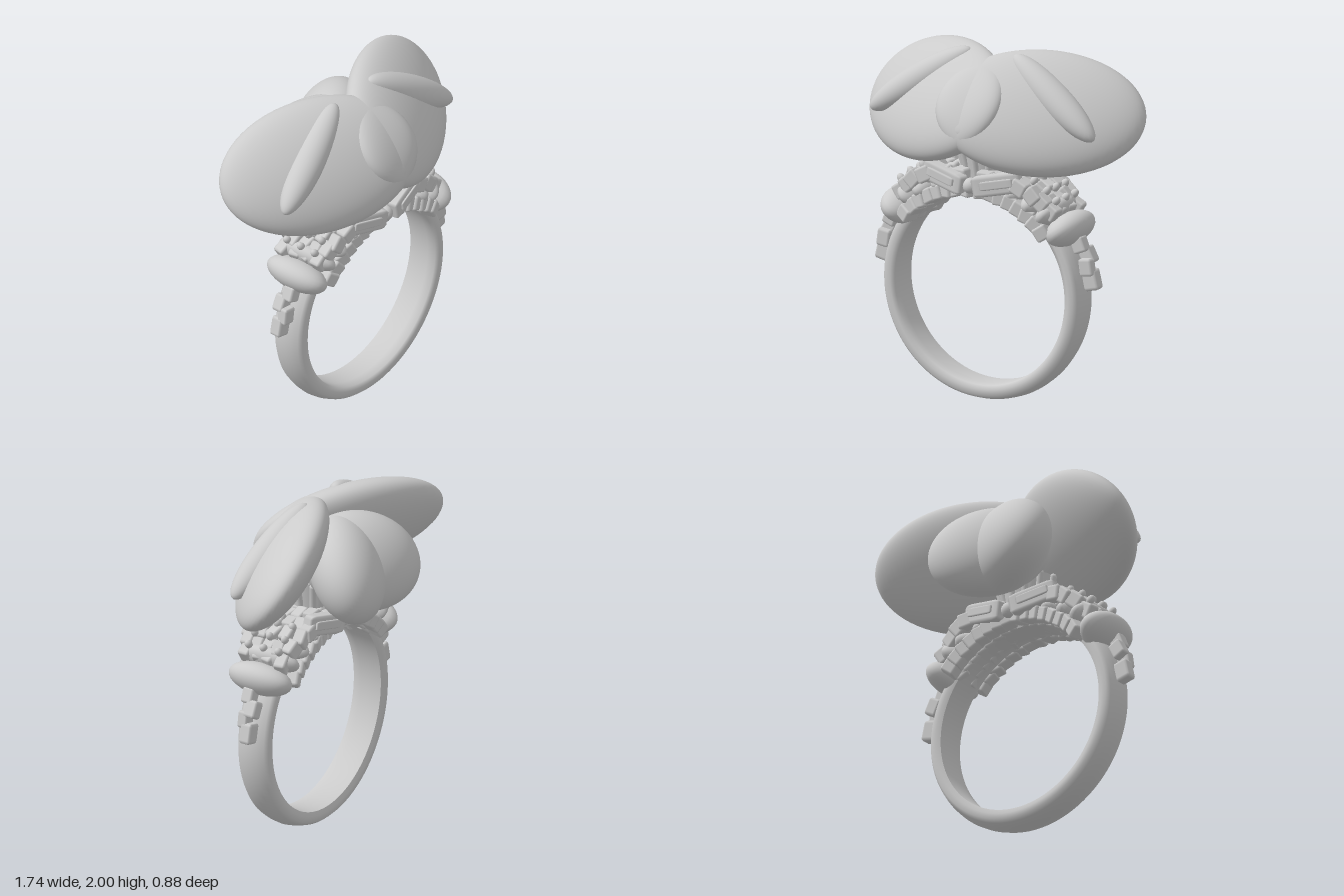
import * as THREE from 'three';
import { RoundedBoxGeometry } from 'three/addons/geometries/RoundedBoxGeometry.js';

const MAT = new THREE.MeshStandardMaterial({ color: 0xcccccc });
const BAND_Y = 0.645, BAND_Z = 0.1;

function add(parent, name, geometry, position = [0, 0, 0], rotation = [0, 0, 0], scale = [1, 1, 1]) {
  const mesh = new THREE.Mesh(geometry, MAT);
  mesh.name = name;
  mesh.position.set(...position);
  mesh.rotation.set(...rotation);
  mesh.scale.set(...scale);
  parent.add(mesh);
  return mesh;
}

// Leaning ellipsoid: half extents (x, y, z) and the lean between each pair of axes.
function leaningEllipsoid([hx, hy, hz], xy, xz, yz) {
  const a = hx, b = xy / a, c = xz / a;
  const d = Math.sqrt(hy * hy - b * b);
  const e = (yz - b * c) / d;
  const f = Math.sqrt(hz * hz - c * c - e * e);
  const m = new THREE.Matrix4().set(a, 0, 0, 0, b, d, 0, 0, c, e, f, 0, 0, 0, 0, 1);
  return new THREE.SphereGeometry(1, 64, 40).applyMatrix4(m);
}

function mirrored(geometry) {
  const g = geometry.clone().scale(-1, 1, 1);
  const idx = g.index.array;
  for (let i = 0; i < idx.length; i += 3) [idx[i], idx[i + 1]] = [idx[i + 1], idx[i]];
  return g;
}

function seeded(seed) {
  return () => (seed = (seed * 16807) % 2147483647) / 2147483647;
}

function buildFlower() {
  const flower = new THREE.Group();
  flower.name = 'flower';
  const side = leaningEllipsoid([0.535, 0.32, 0.355], -0.034, -0.115, -0.045);
  const back = leaningEllipsoid([0.31, 0.28, 0.27], -0.004, -0.035, 0.02);
  // Slender petal laid along its own direction
  const slender = new THREE.SphereGeometry(1, 40, 28).scale(0.355, 0.09, 0.095);
  const dir = new THREE.Vector3(0.55, -0.37, 0.11).normalize();
  slender.applyQuaternion(new THREE.Quaternion().setFromUnitVectors(new THREE.Vector3(1, 0, 0), dir));

  for (const s of [1, -1]) {
    const g = (geo) => (s > 0 ? geo : mirrored(geo));
    add(flower, 'sidePetal', g(side), [s * 0.335, 1.68, 0.085]);
    add(flower, 'backPetalLobe', g(back), [s * 0.07, 1.61, -0.17]);
    add(flower, 'slenderPetal', g(slender), [s * 0.43, 1.785, 0.105]);
  }
  add(flower, 'frontPetal', new THREE.SphereGeometry(1, 40, 28), [0, 1.73, 0.3], [-0.7, 0, 0], [0.19, 0.2, 0.055]);
  return flower;
}

function buildBand() {
  // Domed outside, gently rounded inside
  const profile = [
    [0.55, -0.09], [0.545, -0.04], [0.545, 0.04], [0.55, 0.09], [0.575, 0.1], [0.607, 0.1],
    [0.625, 0.08], [0.638, 0.04], [0.643, 0], [0.638, -0.04], [0.625, -0.08],
    [0.607, -0.1], [0.575, -0.1], [0.55, -0.09],
  ].map(([r, z]) => new THREE.Vector2(r, z));
  const geometry = new THREE.LatheGeometry(profile, 128).rotateX(Math.PI / 2);
  const group = new THREE.Group();
  group.name = 'bandGroup';
  add(group, 'band', geometry, [0, BAND_Y, BAND_Z]).material = new THREE.MeshStandardMaterial({ color: 0xcccccc, side: THREE.DoubleSide });
  return group;
}

function buildShoulder(s) {
  const shoulder = new THREE.Group();
  shoulder.name = s > 0 ? 'leftShoulder' : 'rightShoulder';
  const random = seeded(77);
  const bead = new THREE.SphereGeometry(1, 24, 16);
  const stone = new RoundedBoxGeometry(1, 1, 1, 1, 0.16);

  // Places a piece at an angle from the top of the band and a radius from its centre
  const onArc = (name, geo, deg, r, z, scale, tilt = 0, yaw = 0) => {
    const a = THREE.MathUtils.degToRad(deg);
    return add(shoulder, name, geo,
      [s * r * Math.sin(a), BAND_Y + r * Math.cos(a), z], [0, s * yaw, -s * (a + tilt)], scale);
  };

  // Broad beads wrapping the band
  onArc('largeBead', bead, 53, 0.67, BAND_Z, [0.09, 0.12, 0.2]);
  onArc('middleBead', bead, 42, 0.665, BAND_Z, [0.065, 0.1, 0.195]);
  onArc('smallBead', bead, 33, 0.645, BAND_Z, [0.075, 0.08, 0.2]);
  onArc('smallBead', bead, 22, 0.635, BAND_Z, [0.07, 0.065, 0.19]);

  // Cut stones trailing down the outside
  onArc('trailStone', stone, 62, 0.69, 0.12, [0.09, 0.08, 0.07], 0.1);
  onArc('trailStone', stone, 68, 0.69, 0.08, [0.1, 0.08, 0.07], -0.1);
  onArc('trailStone', stone, 73, 0.685, 0.12, [0.1, 0.08, 0.06], 0.15);
  onArc('trailStone', stone, 79.5, 0.68, 0.09, [0.12, 0.09, 0.07], -0.05);

  // Rows of cluster stones, spreading wider towards the top
  for (const [deg, r, half, count] of [[8, 0.65, 0.16, 6], [16, 0.67, 0.17, 6], [24, 0.7, 0.17, 6], [31, 0.71, 0.16, 5], [38, 0.705, 0.14, 5], [44, 0.695, 0.12, 4]]) {
    for (let i = 0; i < count; i++) {
      const z = BAND_Z + half * (2 * i / (count - 1) - 1);
      onArc('clusterStone', stone, deg + 3 * (random() - 0.5), r + 0.02 * random(), z,
        [0.095, 0.09, 0.07], 0.6 * (random() - 0.5), 0.5 * (random() - 0.5));
    }
  }
  // Tiny prongs standing between the stones
  for (const deg of [28, 35, 41])
    for (const z of [0.0, 0.1, 0.2]) onArc('prong', bead, deg, 0.765, z, [0.022, 0.03, 0.022]);

  // Small stones along both edges and the inner face of the arch
  for (let deg = 4; deg <= 48; deg += 6.2)
    for (const z of [-0.04, 0.05, 0.15, 0.24])
      onArc('innerStone', stone, deg, 0.59, z, [0.085, 0.085, 0.1], 0.5 * (random() - 0.5), 0.3);

  // Long bars on the front and back of the gallery
  for (const [z, yaw] of [[0.285, 0.2], [-0.085, -0.2]]) {
    add(shoulder, 'galleryBar', stone, [s * 0.17, 1.295, z], [0, s * yaw, s * 0.2], [0.29, 0.12, 0.07]);
    add(shoulder, 'galleryInlay', stone, [s * 0.18, 1.3, z + Math.sign(yaw) * 0.032], [0, s * yaw, s * 0.2], [0.2, 0.05, 0.025]);
  }
  return shoulder;
}

function buildGallery() {
  const gallery = new THREE.Group();
  gallery.name = 'gallery';
  // Flared cup carrying the flower
  add(gallery, 'cup', new THREE.CylinderGeometry(0.17, 0.13, 0.26, 24), [0, 1.37, 0.09]);
  for (let i = 0; i < 12; i++) {
    const a = i / 12 * Math.PI * 2;
    add(gallery, 'cupRib', new THREE.CapsuleGeometry(0.02, 0.2, 4, 8),
      [0.15 * Math.sin(a), 1.39, 0.09 + 0.15 * Math.cos(a)], [0.25 * Math.cos(a), 0, -0.25 * Math.sin(a)]);
  }
  for (const z of [0.29, -0.09]) add(gallery, 'centreBead', new THREE.SphereGeometry(0.045, 16, 12), [0, 1.265, z]);
  return gallery;
}

export function createModel() {
  const ring = new THREE.Group();
  ring.name = 'flowerRing';
  ring.add(buildBand(), buildShoulder(1), buildShoulder(-1), buildGallery(), buildFlower());
  return ring;
}
